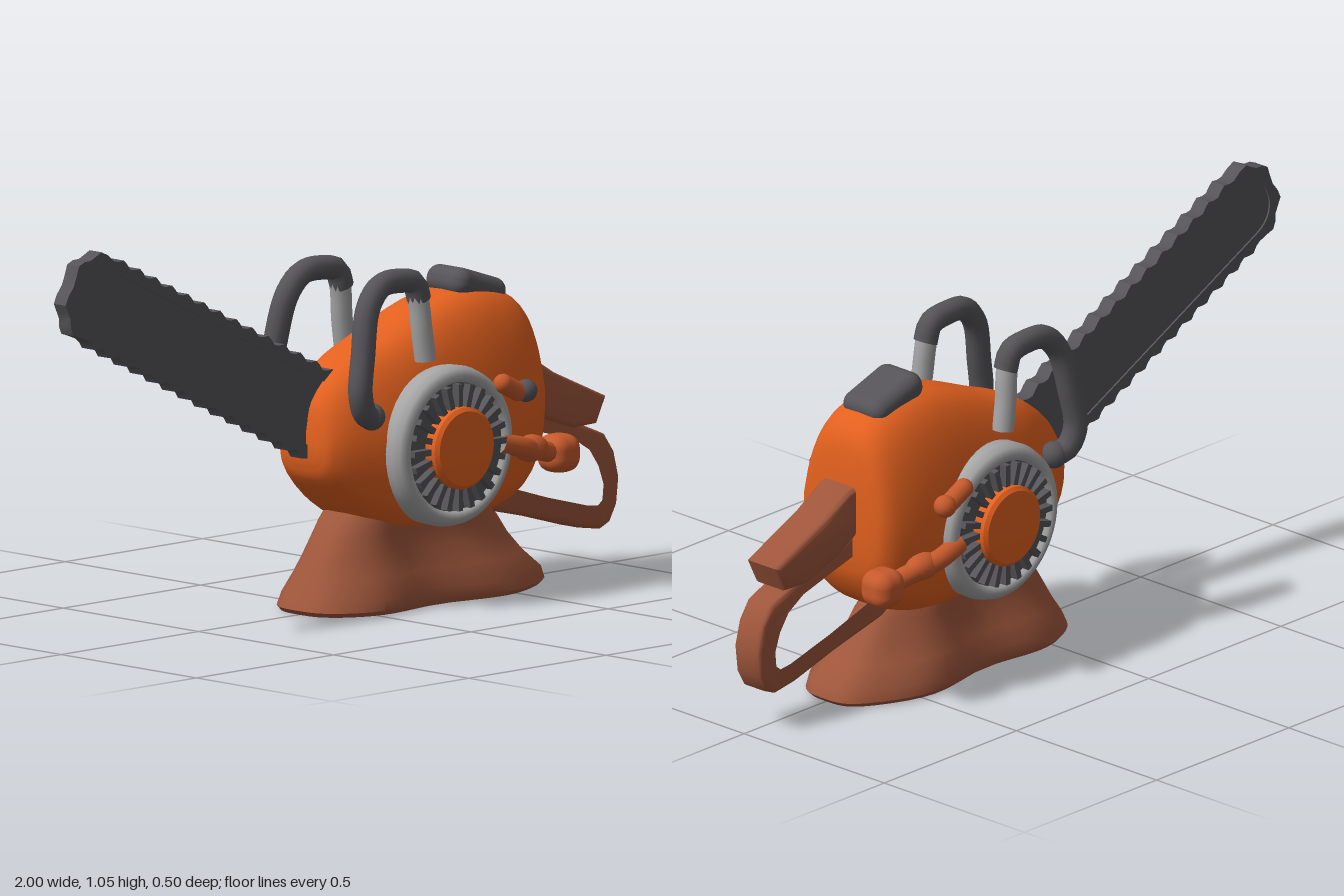
import * as THREE from 'three';
import { toCreasedNormals } from 'three/addons/utils/BufferGeometryUtils.js';
import { RoundedBoxGeometry } from 'three/addons/geometries/RoundedBoxGeometry.js';

const V = (x, y, z) => new THREE.Vector3(x, y, z);
const mat = (name, color) => new THREE.MeshStandardMaterial({ name, color });
const pow = (v, e) => Math.sign(v) * Math.abs(v) ** e;

// Skin a list of closed rings (counterclockwise about the loft axis) and cap both ends
function loft(rings) {
  const n = rings[0].length, pos = [], idx = [];
  rings.forEach(r => r.forEach(p => pos.push(p.x, p.y, p.z)));
  for (let i = 0; i < rings.length - 1; i++) {
    for (let j = 0; j < n; j++) {
      const a = i * n + j, b = i * n + (j + 1) % n;
      idx.push(a, b, a + n, b, b + n, a + n);
    }
  }
  [0, rings.length - 1].forEach(i => {
    const c = rings[i].reduce((s, p) => s.add(p), V(0, 0, 0)).divideScalar(n);
    const k = pos.length / 3;
    pos.push(c.x, c.y, c.z);
    for (let j = 0; j < n; j++) {
      const a = i * n + j, b = i * n + (j + 1) % n;
      if (i) idx.push(k, a, b); else idx.push(k, b, a);
    }
  });
  const g = new THREE.BufferGeometry();
  g.setAttribute('position', new THREE.Float32BufferAttribute(pos, 3));
  g.setIndex(idx);
  g.computeVertexNormals();
  return toCreasedNormals(g, 0.8);
}

// Smoothly interpolate a table of stations
function stations(rows, steps) {
  const a = new THREE.CatmullRomCurve3(rows.map(r => V(r[0], r[1], r[2])));
  const b = new THREE.CatmullRomCurve3(rows.map(r => V(r[0], r[3], 0)));
  return Array.from({ length: steps + 1 }, (_, i) => {
    const p = a.getPoint(i / steps), q = b.getPoint(i / steps);
    return [p.x, p.y, p.z, q.y];
  });
}

// Extruded plate centred on z = 0
function plate(shape, thick, bevel) {
  const g = new THREE.ExtrudeGeometry(shape, {
    depth: thick - 2 * bevel, bevelEnabled: bevel > 0, bevelSize: bevel,
    bevelThickness: bevel, bevelOffset: -bevel, bevelSegments: 3, curveSegments: 8,
  });
  g.translate(0, 0, bevel - thick / 2);
  return toCreasedNormals(g, 0.7);
}

const tube = (pts, r) => new THREE.TubeGeometry(
  new THREE.CatmullRomCurve3(pts.map(p => V(...p))), 32, r, 12);

export function createModel() {
  const model = new THREE.Group();
  const orange = mat('orange', 0xe2601e), dark = mat('dark grey', 0x565458);
  const grey = mat('light grey', 0xa5a5a5), brown = mat('brown', 0x9e563b);
  const rust = mat('rust orange', 0xc65a2c);
  const add = (name, geo, material, parent = model) => {
    const m = new THREE.Mesh(geo, material);
    m.name = name;
    parent.add(m);
    return m;
  };

  // Engine housing: x, bottom, top, half width
  const body = stations([
    [-0.125, 0.41, 0.49, 0.06], [-0.105, 0.36, 0.57, 0.1], [0, 0.265, 0.665, 0.15],
    [0.12, 0.212, 0.715, 0.182], [0.3, 0.205, 0.785, 0.19], [0.44, 0.21, 0.808, 0.19],
    [0.56, 0.25, 0.785, 0.175], [0.62, 0.33, 0.73, 0.145], [0.638, 0.4, 0.64, 0.09],
  ], 32);
  add('engineHousing', loft(body.map(([x, lo, hi, w]) =>
    Array.from({ length: 40 }, (_, j) => {
      const a = j / 40 * Math.PI * 2;
      const c = pow(Math.cos(a), 0.65), s = pow(Math.sin(a), 0.6);
      return V(x, (lo + hi) / 2 + c * (hi - lo) / 2, s * w * (1 - 0.27 * Math.max(0, c)));
    }))), orange);

  // Flared base: y, left end, right end, half depth
  const base = [
    [0.008, -0.135, 0.69, 0.175], [0.02, -0.145, 0.702, 0.185], [0.05, -0.13, 0.69, 0.182],
    [0.1, -0.1, 0.63, 0.155], [0.15, -0.075, 0.585, 0.13], [0.2, -0.045, 0.55, 0.118],
    [0.235, -0.02, 0.51, 0.115], [0.29, 0.03, 0.47, 0.11],
  ];
  add('base', loft(base.map(([y, x0, x1, d]) =>
    Array.from({ length: 56 }, (_, j) => {
      const a = j / 56 * Math.PI * 2, s = pow(Math.sin(a), 0.75);
      const lobe = 0.9 - 0.1 * Math.cos(s * 5.5 + 0.6);
      return V((x0 + x1) / 2 + s * (x1 - x0) / 2, y, pow(Math.cos(a), 0.6) * d * lobe);
    }))), brown);

  // Guide bar with a toothed chain around it
  const P = (u, v) => new THREE.Vector2(-0.895 * u + 0.446 * v, 0.49 + 0.446 * u + 0.895 * v);
  const barOutline = (half, tooth) => {
    const pts = [], n = 60;
    const bump = i => tooth * [0, 0.6, 1, 0.3][i % 4];
    for (let i = 0; i <= n; i++) pts.push(P(i / n * 0.98, half + bump(i)));
    for (let i = 1; i < 16; i++) {
      const a = Math.PI / 2 - i / 16 * Math.PI, r = half + bump(i);
      pts.push(P(0.98 + r * pow(Math.cos(a), 0.85), r * pow(Math.sin(a), 0.85)));
    }
    for (let i = n; i >= 0; i--) pts.push(P(i / n * 0.98, -half - bump(i)));
    return pts;
  };
  add('guideBar', plate(new THREE.Shape(barOutline(0.105, 0)), 0.034, 0), dark);
  const chain = new THREE.Shape(barOutline(0.11, 0.014));
  chain.holes.push(new THREE.Path(barOutline(0.085, 0).map((p, i, a) =>
    i === 0 || i === a.length - 1 ? p.clone().add(new THREE.Vector2(-0.02, 0.01)) : p)));
  add('chain', plate(chain, 0.044, 0), dark);

  // Rear grip: a closed loop below a sloping flap
  const v2 = list => list.map(p => new THREE.Vector2(...p));
  const grip = new THREE.Shape(v2([[0.58, 0.5], [0.7, 0.44], [0.8, 0.42], [0.88, 0.385], [0.94, 0.36],
    [0.975, 0.31], [0.993, 0.24], [0.985, 0.17], [0.96, 0.125], [0.925, 0.11], [0.85, 0.122],
    [0.7, 0.165], [0.45, 0.225], [0.45, 0.32]]));
  grip.holes.push(new THREE.Path(v2([[0.62, 0.43], [0.73, 0.4], [0.83, 0.372], [0.89, 0.335],
    [0.925, 0.285], [0.945, 0.23], [0.94, 0.18], [0.915, 0.16], [0.87, 0.165], [0.72, 0.205],
    [0.56, 0.255]])));
  add('rearGrip', plate(grip, 0.092, 0.014), brown);
  add('gripFlap', plate(new THREE.Shape(v2([[0.58, 0.615], [0.66, 0.6], [0.75, 0.545],
    [0.935, 0.462], [0.9, 0.392], [0.82, 0.39], [0.7, 0.43], [0.58, 0.5]])), 0.115, 0.014), brown);
  add('trigger', new RoundedBoxGeometry(0.08, 0.07, 0.08, 2, 0.015), dark).position.set(0.665, 0.45, 0);

  // Fuel cap on the sloping top
  const cap = add('topCap', new RoundedBoxGeometry(0.19, 0.075, 0.145, 4, 0.034), dark);
  cap.position.set(0.475, 0.803, 0);
  cap.rotation.z = -0.32;

  for (const s of [1, -1]) {
    const side = s > 0 ? 'front' : 'back';

    // Round starter cover: grey rim, dark vent with fins, orange hub
    const cover = new THREE.Group();
    cover.name = side + 'StarterCover';
    cover.position.set(0.237, 0.43, 0);
    cover.rotation.x = s * Math.PI / 2;
    model.add(cover);
    const rim = [[0.208, 0.1], [0.212, 0.18], [0.205, 0.205], [0.188, 0.216], [0.172, 0.212], [0.164, 0.18]];
    add('coverRim', new THREE.LatheGeometry(v2(rim), 48), grey, cover);
    const disc = (r, h) => new THREE.CylinderGeometry(r, r, h, 40).translate(0, h / 2, 0);
    add('ventDisc', disc(0.17, 0.2), dark, cover);
    for (let i = 0; i < 24; i++) {
      const fin = add('ventFin', new THREE.BoxGeometry(0.062, 0.04, 0.016).translate(0.136, 0.203, 0), dark, cover);
      fin.rotation.y = i / 24 * Math.PI * 2;
    }
    const hub = [[0.108, 0.15], [0.108, 0.235], [0.098, 0.244], [0, 0.246]];
    add('hub', toCreasedNormals(new THREE.LatheGeometry(v2(hub), 40), 0.6), orange, cover);

    // Carry handle hoop with a grey rear leg
    add(side + 'Handle', tube([[0, 0.53, s * 0.14], [-0.05, 0.545, s * 0.16], [-0.075, 0.6, s * 0.168],
      [-0.06, 0.7, s * 0.162], [-0.03, 0.82, s * 0.15], [0.02, 0.872, s * 0.145], [0.09, 0.878, s * 0.143],
      [0.145, 0.865, s * 0.143], [0.163, 0.82, s * 0.143]], 0.032), dark);
    add(side + 'HandleFoot', new THREE.SphereGeometry(0.036, 16, 12), dark).position.set(-0.015, 0.533, s * 0.148);
    add(side + 'HandleLeg', tube([[0.155, 0.845, s * 0.143], [0.162, 0.8, s * 0.145], [0.168, 0.74, s * 0.148],
      [0.18, 0.66, s * 0.15]], 0.029), grey);

    // Side knob on a bulging stem
    add(side + 'KnobStem', tube([[0.4, 0.42, s * 0.2], [0.48, 0.4, s * 0.205], [0.56, 0.38, s * 0.185],
      [0.64, 0.36, s * 0.165]], 0.027), rust);
    const lump = add(side + 'StemLump', new THREE.SphereGeometry(0.042, 16, 12), rust);
    lump.position.set(0.525, 0.39, s * 0.188);
    lump.scale.set(1.3, 0.85, 0.9);
    add(side + 'Knob', new RoundedBoxGeometry(0.1, 0.1, 0.1, 4, 0.038), rust).position.set(0.65, 0.36, s * 0.165);

    // Small latch beside the cover rim
    const latch = add(side + 'Latch', new THREE.CapsuleGeometry(0.026, 0.06, 6, 12), rust);
    latch.position.set(0.425, 0.565, s * 0.215);
    latch.rotation.z = 1.1;
    add(side + 'LatchTip', new THREE.SphereGeometry(0.03, 14, 10), s > 0 ? dark : rust)
      .position.set(0.475, 0.552, s * 0.222);
  }
  return model;
}
